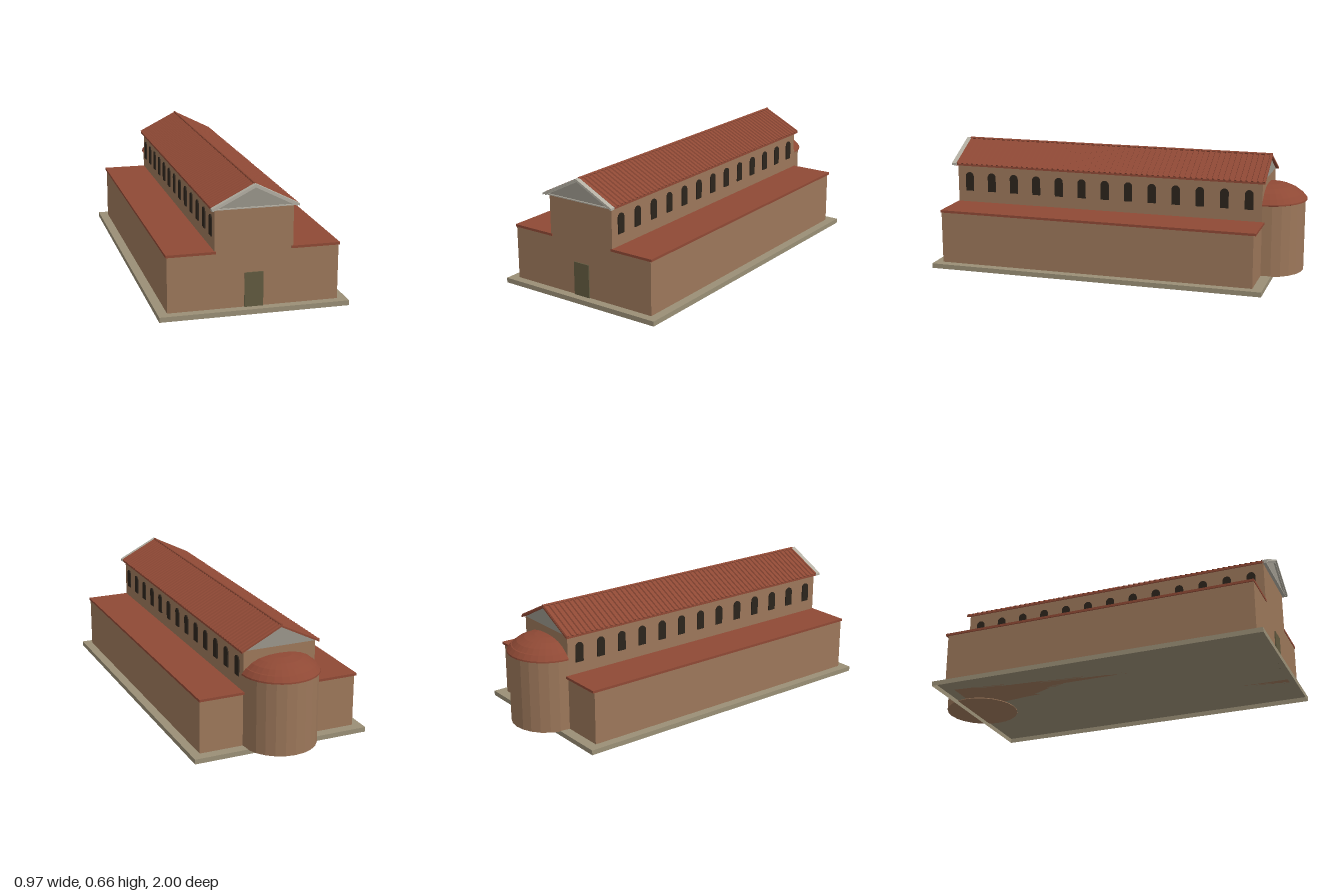
import * as THREE from 'three';
import { mergeGeometries } from 'three/addons/utils/BufferGeometryUtils.js';

const mat = (color, opts = {}) =>
  new THREE.MeshStandardMaterial({ color, flatShading: true, ...opts });

export function createModel() {
  const model = new THREE.Group();
  const wall = mat(0x9c775a), tile = mat(0x8f4935), stone = mat(0x9a8f76);
  const marble = mat(0xb4b0a4), panel = mat(0x9a968b), dark = mat(0x2c241c), wood = mat(0x625a40);

  const add = (name, geometry, material) => {
    const mesh = new THREE.Mesh(geometry, material);
    mesh.name = name;
    model.add(mesh);
    return mesh;
  };
  // Box given by its lower and upper limits
  const box = (name, [x0, y0, z0], [x1, y1, z1], material) => {
    const g = new THREE.BoxGeometry(x1 - x0, y1 - y0, z1 - z0);
    g.translate((x0 + x1) / 2, (y0 + y1) / 2, (z0 + z1) / 2);
    return add(name, g, material);
  };
  // Outline in x, y extruded from z0 to z1
  const prism = (name, points, z0, z1, material) => {
    const shape = new THREE.Shape(points.map(p => new THREE.Vector2(...p)));
    const g = new THREE.ExtrudeGeometry(shape, { depth: z1 - z0, bevelEnabled: false });
    g.translate(0, 0, z0);
    return add(name, g, material);
  };
  // Gabled strip following both roof slopes
  const chevron = (name, halfWidth, eave, ridge, thick, z0, z1, material) =>
    prism(name, [[-halfWidth, eave], [-halfWidth, eave - thick], [0, ridge - thick],
      [halfWidth, eave - thick], [halfWidth, eave], [0, ridge]], z0, z1, material);

  // Plinth, open underneath
  const plinth = new THREE.BoxGeometry(0.97, 0.026, 1.845);
  plinth.translate(0, 0.013, 0.0775);
  const kept = [...plinth.index.array].filter((_, i) => i < 18 || i >= 24);
  plinth.setIndex(kept);
  add('plinth', plinth, mat(0x9a8f76, { side: THREE.DoubleSide }));

  // Nave and side aisles
  box('nave', [-0.2, 0.026, -0.79], [0.2, 0.537, 0.955], wall);
  for (const s of [-1, 1]) {
    const side = s < 0 ? 'right' : 'left';
    const span = (a, b) => (s < 0 ? [-b, -a] : [a, b]);
    const [a0, a1] = span(0.2, 0.437), [r0, r1] = span(0.192, 0.443);
    box(side + 'Aisle', [a0, 0.026, -0.79], [a1, 0.31, 0.955], wall);
    box(side + 'AisleRoof', [r0, 0.31, -0.803], [r1, 0.323, 0.958], tile);
  }

  // Main door
  box('door', [-0.048, 0.026, 0.95], [0.048, 0.204, 0.961], wood);

  // Arched clerestory windows
  const arch = new THREE.Shape();
  arch.moveTo(-0.023, 0).lineTo(0.023, 0).lineTo(0.023, 0.083);
  arch.absarc(0, 0.083, 0.023, 0, Math.PI, false);
  arch.closePath();
  const windowGeo = new THREE.ExtrudeGeometry(arch, { depth: 0.012, bevelEnabled: false, curveSegments: 8 });
  for (const s of [-1, 1]) {
    for (let i = 0; i < 13; i++) {
      const w = add('clerestoryWindow', windowGeo, dark);
      w.rotation.y = s * Math.PI / 2;
      w.position.set(s * 0.194, 0.387, 0.885 - i * 0.1337);
    }
  }

  // Gabled main roof
  const eaveX = 0.216, eaveY = 0.541, ridgeY = 0.65;
  chevron('mainRoof', eaveX, eaveY, ridgeY, 0.01, -0.805, 0.962, tile);

  // Rounded cover tiles running down each slope
  const slope = Math.atan2(ridgeY - eaveY, eaveX);
  const length = Math.hypot(eaveX, ridgeY - eaveY);
  const ribs = [], count = 59;
  for (const s of [-1, 1]) {
    for (let i = 0; i < count; i++) {
      const rib = new THREE.CylinderGeometry(0.0075, 0.0075, length, 6);
      rib.rotateZ(Math.PI / 2 - s * slope);
      rib.translate(s * eaveX / 2, (eaveY + ridgeY) / 2, -0.797 + i * 1.75 / (count - 1));
      ribs.push(rib);
    }
  }
  add('coverTiles', mergeGeometries(ribs), tile);

  // Ridge cap
  const ridge = new THREE.CylinderGeometry(0.007, 0.007, 1.767, 8);
  ridge.rotateX(Math.PI / 2);
  ridge.translate(0, 0.652, 0.0785);
  add('ridgeCap', ridge, tile);

  // Gable panels, front and back
  const gable = [[-0.2, 0.537], [0.2, 0.537], [0, 0.642]];
  prism('frontGable', gable, 0.945, 0.966, panel);
  prism('backGable', gable, -0.79, -0.78, panel);

  // Stepped raking cornice of the front pediment
  chevron('outerCornice', 0.221, 0.544, 0.656, 0.011, 0.955, 0.984, marble);
  chevron('innerCornice', 0.212, 0.5375, 0.645, 0.008, 0.955, 0.976, marble);
  box('baseCornice', [-0.21, 0.534, 0.955], [0.21, 0.54, 0.972], marble);

  // Rounded apse
  const apse = new THREE.CylinderGeometry(0.2, 0.2, 0.395, 24);
  apse.translate(0, 0.2195, -0.79);
  add('apse', apse, wall);

  // Half dome with a sloping rim
  const profile = [[0.197, 0.408], [0.209, 0.412], [0.208, 0.42], [0.186, 0.445], [0.18, 0.447],
    [0.155, 0.468], [0.115, 0.486], [0.06, 0.497], [0, 0.5]].map(p => new THREE.Vector2(...p));
  const dome = new THREE.LatheGeometry(profile, 16, Math.PI / 2, Math.PI);
  dome.translate(0, 0, -0.79);
  add('apseRoof', dome, mat(0x8f4935, { side: THREE.DoubleSide }));

  return model;
}
